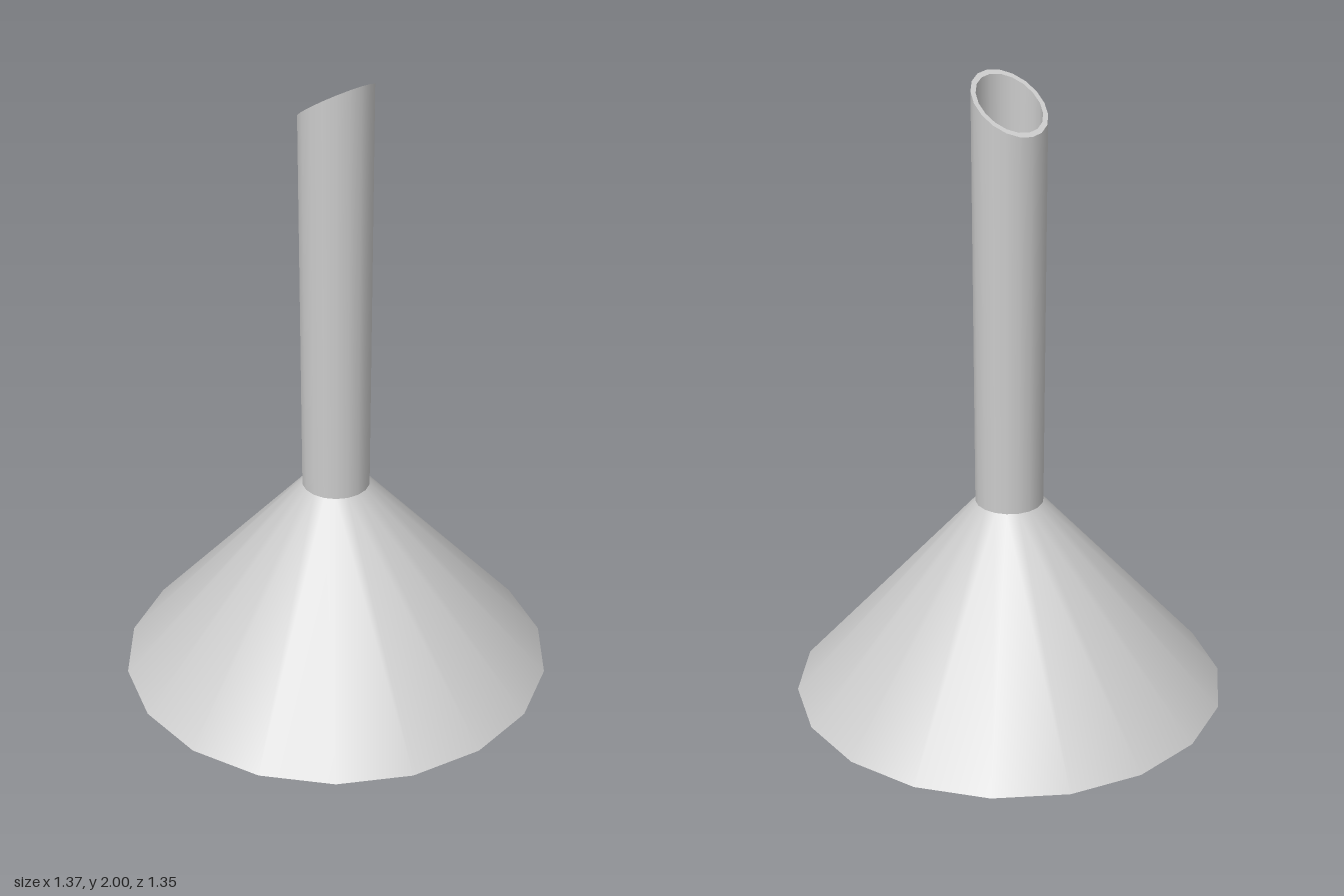
import * as THREE from 'three';

const SIDES = 18;
const TOP = 1.925;            // mid height of the slanted mouth
const SLOPE = 0.075 / 0.113;  // rise of the mouth towards +x

export function createModel() {
  const funnel = new THREE.Group();
  funnel.name = 'funnel';
  const material = new THREE.MeshStandardMaterial({ color: 0xcccccc });

  // One turned band between two [radius, height] points, smooth around, sharp at its ends
  function band(name, from, to, flat = false) {
    const geometry = new THREE.LatheGeometry(
      [new THREE.Vector2(...from), new THREE.Vector2(...to)], SIDES);
    geometry.rotateY(Math.PI / 2);
    // Cut the mouth of the stem at a slant
    const p = geometry.attributes.position;
    for (let i = 0; i < p.count; i++) {
      if (p.getY(i) > TOP - 0.001) p.setY(i, TOP + p.getX(i) * SLOPE);
    }
    if (flat) geometry.computeVertexNormals();
    const mesh = new THREE.Mesh(geometry, material);
    mesh.name = name;
    funnel.add(mesh);
  }

  // Outside, from the wide rim up to the mouth
  band('coneOuter', [0.685, 0], [0.107, 0.65]);
  band('stemOuter', [0.107, 0.65], [0.113, TOP]);
  band('mouthRim', [0.113, TOP], [0.098, TOP], true);
  // Inside, back down to the wide rim
  band('stemInner', [0.098, TOP], [0.095, 0.645]);
  band('coneInner', [0.095, 0.645], [0.672, 0]);
  band('baseRim', [0.672, 0], [0.685, 0], true);

  return funnel;
}
